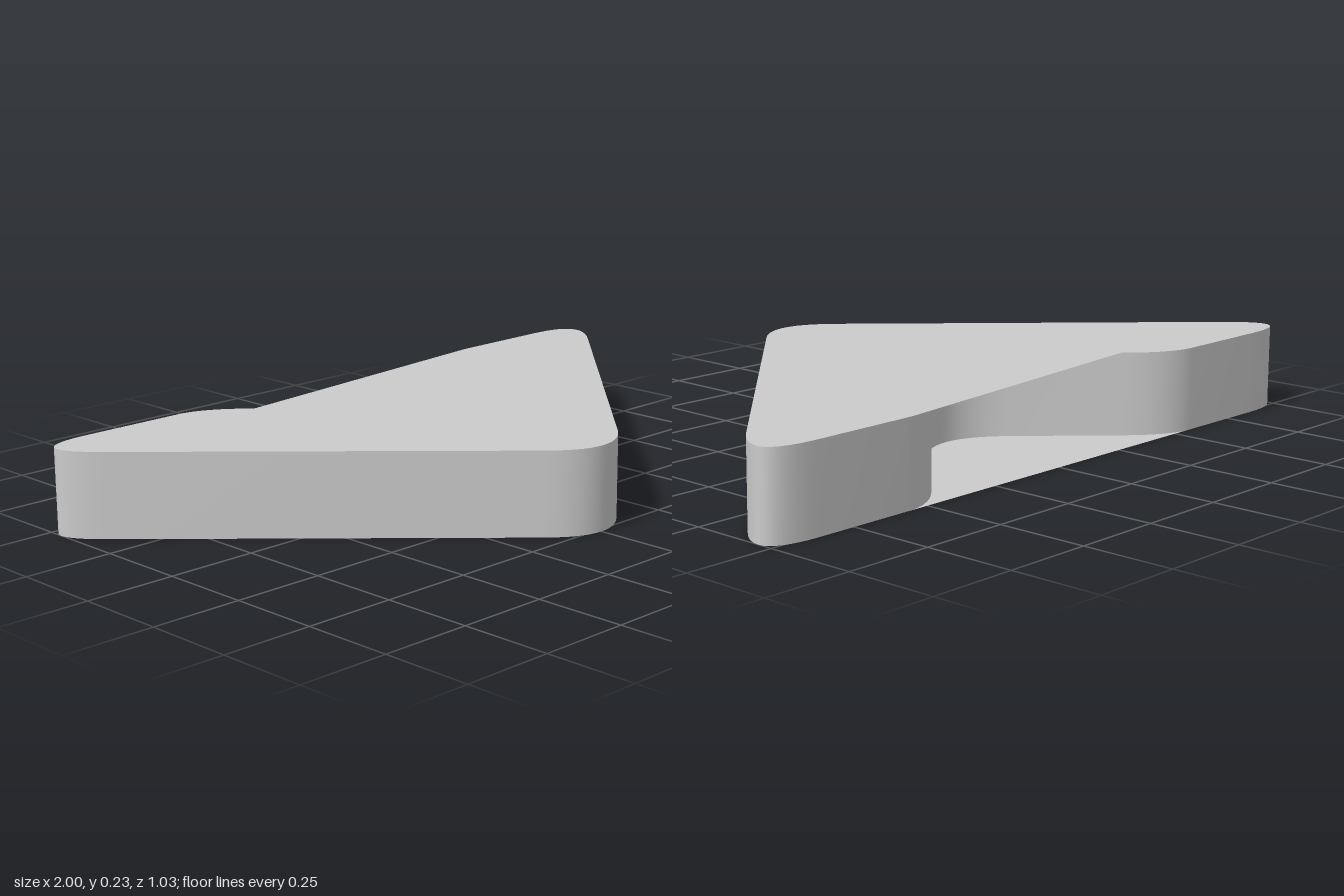
import * as THREE from 'three';
import { toCreasedNormals } from 'three/addons/utils/BufferGeometryUtils.js';

const HEIGHT = 0.232;
const BACK = 0.515;   // back edge, as shape y (= -z)
const TIP = 0.585;    // sharp front tip before rounding
const K = Math.SQRT1_2;

// Rounded triangle, counter-clockwise; drawBack adds the back edge cut-out
function plateShape(drawBack) {
  const s = new THREE.Shape();
  const corner = TIP + BACK, r = 0.24, f = 0.2 * K;
  s.moveTo(-f, f - TIP);
  s.quadraticCurveTo(0, -TIP, f, f - TIP);
  s.lineTo(corner - r * K, BACK - r * K);
  s.quadraticCurveTo(corner, BACK, corner - r, BACK);
  if (drawBack) drawBack(s);
  s.lineTo(r - corner, BACK);
  s.quadraticCurveTo(-corner, BACK, r * K - corner, BACK - r * K);
  s.lineTo(-f, f - TIP);
  return s;
}

// Full V notch with rounded mouth and rounded inner tip
function notch(s) {
  const depth = 0.48, t = 0.24 * K;
  s.lineTo(0.57, BACK);
  s.quadraticCurveTo(0.475, BACK, 0.38, BACK - 0.1);
  s.lineTo(t, BACK - depth + t);
  s.quadraticCurveTo(0, BACK - depth, -t, BACK - depth + t);
  s.lineTo(-0.38, BACK - 0.1);
  s.quadraticCurveTo(-0.475, BACK, -0.57, BACK);
}

// Shallow cut-out of the top sheet, which roofs over most of the notch
function shallowCut(s) {
  s.lineTo(0.55, BACK);
  s.lineTo(-0.38, BACK - 0.1);
  s.quadraticCurveTo(-0.475, BACK, -0.57, BACK);
}

// Vertical band following an outline
function wallGeometry(shape) {
  const pts = shape.getPoints(14);
  const pos = [];
  pts.forEach((a, i) => {
    const b = pts[(i + 1) % pts.length];
    if (a.distanceTo(b) < 1e-6) return;
    const a0 = [a.x, 0, -a.y], b0 = [b.x, 0, -b.y];
    const a1 = [a.x, HEIGHT, -a.y], b1 = [b.x, HEIGHT, -b.y];
    pos.push(...a0, ...b0, ...b1, ...a0, ...b1, ...a1);
  });
  const g = new THREE.BufferGeometry();
  g.setAttribute('position', new THREE.Float32BufferAttribute(pos, 3));
  return toCreasedNormals(g, Math.PI / 6);
}

export function createModel() {
  const group = new THREE.Group();
  group.name = 'notchedTriangle';
  const material = new THREE.MeshStandardMaterial({ color: 0xcccccc, side: THREE.DoubleSide });
  const add = (name, geometry) => {
    const mesh = new THREE.Mesh(geometry, material);
    mesh.name = name;
    group.add(mesh);
  };
  const sheet = (shape, y) =>
    new THREE.ShapeGeometry(shape, 14).rotateX(-Math.PI / 2).translate(0, y, 0);

  add('sideWall', wallGeometry(plateShape(notch)));
  add('topSheet', sheet(plateShape(shallowCut), HEIGHT));
  add('bottomSheet', sheet(plateShape(), 0));
  return group;
}
